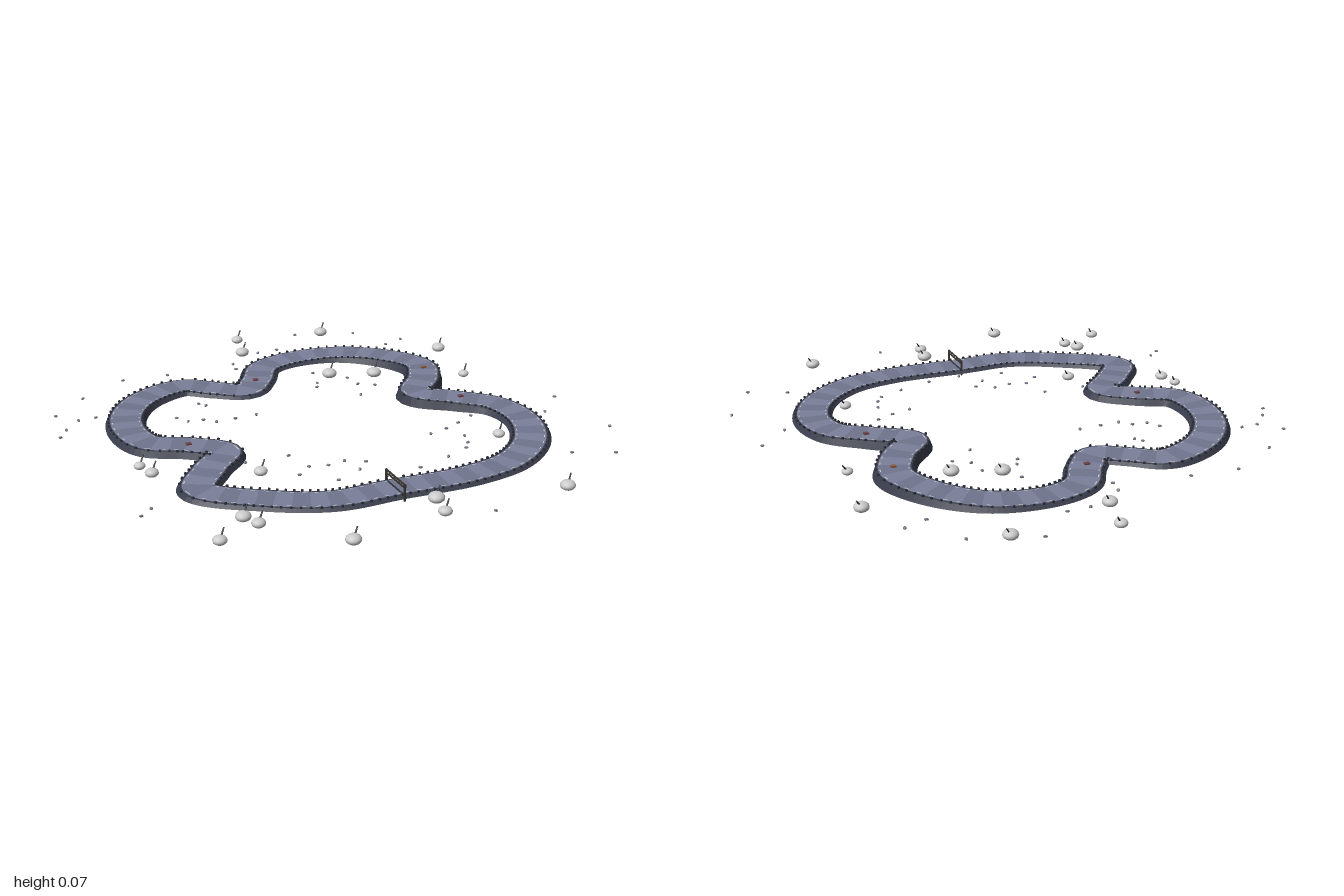
import * as THREE from 'three';
import { mergeGeometries } from 'three/addons/utils/BufferGeometryUtils.js';

const SEGMENTS = 320;
const BASE = 0.01;

// centre line of the circuit: x, z, height of the road
const PATH = [
  [-0.03, 0.66, 0.021], [-0.27, 0.65, 0.021], [-0.48, 0.55, 0.022], [-0.67, 0.39, 0.026],
  [-0.58, 0.25, 0.03], [-0.475, 0.13, 0.033], [-0.58, 0.03, 0.034], [-0.71, -0.05, 0.034],
  [-0.74, -0.19, 0.034], [-0.70, -0.35, 0.032], [-0.58, -0.49, 0.029], [-0.39, -0.555, 0.025],
  [-0.27, -0.475, 0.022], [-0.165, -0.415, 0.021], [-0.08, -0.5, 0.021], [0.0, -0.62, 0.021],
  [0.14, -0.665, 0.022], [0.35, -0.63, 0.028], [0.51, -0.5, 0.036], [0.595, -0.32, 0.043],
  [0.54, -0.18, 0.045], [0.44, -0.05, 0.044], [0.56, 0.06, 0.04], [0.68, 0.17, 0.034],
  [0.71, 0.33, 0.028], [0.64, 0.5, 0.023], [0.48, 0.63, 0.021], [0.27, 0.675, 0.021],
];

// boulders: x, z, radius
const BOULDERS = [
  [0.02, -0.97, 0.025], [-0.02, -0.81, 0.029], [0.4, -0.9, 0.029], [0.79, -0.5, 0.029],
  [0.22, -0.42, 0.031], [0.395, -0.35, 0.031], [0.74, -0.19, 0.022], [-0.8, 0.105, 0.022],
  [-0.78, 0.185, 0.026], [-0.415, 0.34, 0.026], [0.55, 0.415, 0.024], [-0.61, 0.65, 0.029],
  [-0.58, 0.715, 0.026], [-0.745, 0.775, 0.026], [0.06, 0.805, 0.031], [0.04, 0.905, 0.026],
  [-0.34, 0.96, 0.029], [0.535, 0.915, 0.029],
];

// pebbles: x, z
const PEBBLES = [
  [0.29, -0.94], [0.54, -0.85], [-0.59, -0.74], [-0.4, -0.72], [-0.8, -0.62], [-0.95, -0.49],
  [0.05, -0.8], [0.14, -0.8], [-0.1, -0.72], [-0.11, -0.66], [0.7, -0.69], [0.61, -0.66],
  [-0.95, -0.34], [-0.99, -0.28], [-0.88, -0.41], [-0.81, -0.41], [-0.39, -0.37], [-0.37, -0.34],
  [-0.52, -0.27], [-0.49, -0.22], [-0.43, -0.21], [-0.39, -0.17], [-0.31, -0.17], [-0.22, -0.17],
  [0.17, -0.48], [0.14, -0.37], [0.12, -0.33], [0.28, -0.37], [0.29, -0.29], [0.35, -0.25],
  [0.25, -0.18], [0.96, 0.175], [0.992, 0.52], [0.87, 0.735], [0.84, 0.29], [0.72, 0.665],
  [-0.87, 0.44], [-0.92, 0.48], [0.21, 0.96], [-0.26, 0.24], [-0.23, 0.36], [-0.43, 0.23],
  [-0.16, 0.38], [-0.07, 0.46], [-0.29, 0.41], [-0.09, 0.37], [-0.02, 0.41], [0.32, 0.29],
  [0.4, 0.27], [0.43, 0.36], [0.47, 0.24], [0.55, 0.2], [0.41, 0.42], [0.38, 0.46],
  [0.28, 0.5], [0.14, 0.54], [0.0, 0.55], [-0.18, 0.51],
];

function paint(color, side = THREE.FrontSide) {
  return new THREE.MeshStandardMaterial({ color, flatShading: true, side });
}

// evenly spaced stations with a sideways direction pointing to the infield
function makeStations() {
  const curve = new THREE.CatmullRomCurve3(
    PATH.map(([x, z, y]) => new THREE.Vector3(x, y, z)), true, 'centripetal');
  return Array.from({ length: SEGMENTS }, (_, i) => {
    const p = curve.getPointAt(i / SEGMENTS);
    const t = curve.getTangentAt(i / SEGMENTS);
    return { p, side: new THREE.Vector3(-t.z, 0, t.x).normalize(), yaw: Math.atan2(-t.z, t.x) };
  });
}

// sweeps a section of [offset, height above road, or null for the base] round the circuit
function sweep(stations, section, closed, keep = () => true) {
  const n = section.length, pos = [], index = [];
  for (const { p, side } of stations) {
    for (const [o, h] of section) {
      pos.push(p.x + side.x * o, h === null ? BASE : p.y + h, p.z + side.z * o);
    }
  }
  for (let i = 0; i < SEGMENTS; i++) {
    if (!keep(i)) continue;
    const r0 = i * n, r1 = ((i + 1) % SEGMENTS) * n;
    for (let j = 0; j < (closed ? n : n - 1); j++) {
      const k = (j + 1) % n;
      index.push(r0 + j, r0 + k, r1 + j, r0 + k, r1 + k, r1 + j);
    }
  }
  const geo = new THREE.BufferGeometry();
  geo.setAttribute('position', new THREE.Float32BufferAttribute(pos, 3));
  geo.setIndex(index);
  geo.computeVertexNormals();
  return geo;
}

export function createModel() {
  const group = new THREE.Group();
  const stations = makeStations();
  const add = (name, geo, mat, parent = group) => {
    const mesh = new THREE.Mesh(geo, mat);
    mesh.name = name;
    parent.add(mesh);
    return mesh;
  };

  // raised embankment with sloping flanks
  add('embankment', sweep(stations, [[-0.08, null], [-0.068, 0], [0.068, 0], [0.08, null]], true),
    paint(0x3a3d4c, THREE.DoubleSide));

  // road surface in two alternating shades
  const strip = [[-0.06, 0.001], [0.06, 0.001]];
  const band = (i) => i % 8 < 4;
  add('roadLight', sweep(stations, strip, false, band), paint(0x7b809a, THREE.DoubleSide));
  add('roadDark', sweep(stations, strip, false, (i) => !band(i)), paint(0x70758e, THREE.DoubleSide));

  // dashed lines near both edges, and kerb blocks outside them
  for (const [label, s] of [['outer', -1], ['inner', 1]]) {
    add(label + 'Dashes', sweep(stations, [[s * 0.053 - 0.002, 0.002], [s * 0.053 + 0.002, 0.002]],
      false, (i) => i % 3 === 0), paint(0xcccccc, THREE.DoubleSide));
    const blocks = stations.filter((_, i) => i % 2 === 0).map(({ p, side, yaw }) =>
      new THREE.BoxGeometry(0.008, 0.007, 0.007).rotateY(yaw).translate(
        p.x + side.x * s * 0.068, p.y + 0.003, p.z + side.z * s * 0.068));
    add(label + 'KerbBlocks', mergeGeometries(blocks), paint(0x2b2d36));
  }

  // start gantry with a braced beam across the road
  const gantry = new THREE.Group();
  gantry.name = 'startGantry';
  gantry.position.set(-0.03, 0, 0.665);
  group.add(gantry);
  const steel = paint(0x3a3632);
  for (const s of [-1, 1]) {
    add('gantryPost', new THREE.BoxGeometry(0.007, 0.066, 0.006), steel, gantry)
      .position.set(0, 0.033, s * 0.072);
  }
  for (const y of [0.051, 0.064]) {
    add('gantryBeam', new THREE.BoxGeometry(0.005, 0.004, 0.15), steel, gantry).position.y = y;
  }
  for (let i = 0; i < 8; i++) {
    const brace = add('gantryBrace', new THREE.BoxGeometry(0.003, 0.003, 0.022), steel, gantry);
    brace.position.set(0, 0.0575, -0.063 + i * 0.018);
    brace.rotation.x = i % 2 ? 0.6 : -0.6;
  }
  add('startLine', new THREE.BoxGeometry(0.008, 0.002, 0.12), paint(0x33353f), gantry).position.y = 0.022;

  // small markers lying on the road
  for (const [x, z, y, color] of [[-0.58, 0.03, 0.037, 0x70434c], [-0.09, -0.49, 0.024, 0x70434c],
    [0.59, -0.27, 0.047, 0x8a5a3a], [0.58, 0.065, 0.043, 0x70434c]]) {
    add('roadMarker', new THREE.BoxGeometry(0.02, 0.008, 0.016), paint(color)).position.set(x, y, z);
  }

  // flattened boulders, each with a leaning rod
  const stone = new THREE.MeshStandardMaterial({ color: 0xcccccc });
  const ball = new THREE.SphereGeometry(1, 16, 10);
  const rod = new THREE.CylinderGeometry(0.0025, 0.0035, 0.036, 6);
  const up = new THREE.Vector3(0, 1, 0);
  const lean = new THREE.Vector3(0.5, 0.75, -0.4).normalize();
  for (const [x, z, r] of BOULDERS) {
    const boulder = new THREE.Group();
    boulder.name = 'boulder';
    boulder.position.set(x, 0.008 + r * 0.65, z);
    group.add(boulder);
    add('boulderBody', ball, stone, boulder).scale.set(r, r * 0.65, r);
    const stick = add('boulderRod', rod, paint(0x33353f), boulder);
    stick.quaternion.setFromUnitVectors(up, lean);
    stick.position.copy(lean).multiplyScalar(0.028);
  }

  // scattered faceted pebbles
  const chip = new THREE.DodecahedronGeometry(0.008);
  const grit = paint(0x777a88);
  PEBBLES.forEach(([x, z], i) => {
    const pebble = add('pebble', chip, grit);
    pebble.position.set(x, 0.015, z);
    pebble.rotation.y = i * 1.7;
    pebble.scale.set(1.1, 0.7, 0.8);
  });

  return group;
}
